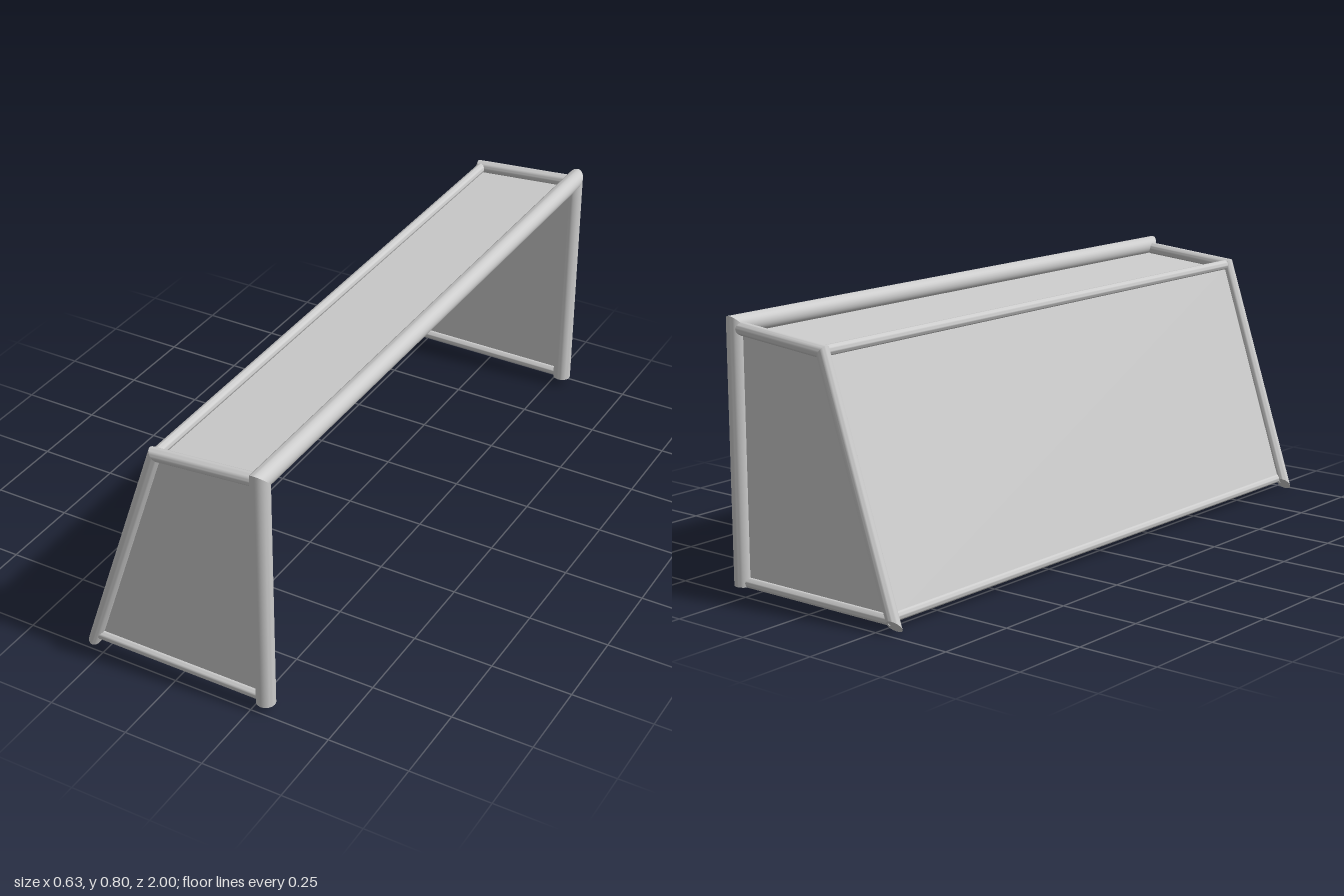
import * as THREE from 'three';
import { toCreasedNormals } from 'three/addons/utils/BufferGeometryUtils.js';

const V = (x, y, z) => new THREE.Vector3(x, y, z);
const material = new THREE.MeshStandardMaterial({ color: 0xcccccc });
const panelMaterial = new THREE.MeshStandardMaterial({ color: 0xcccccc, side: THREE.DoubleSide });

// Round bar from a to b; each end is cut by a plane with the given normal (square by default)
function bar(name, a, b, r, cutA, cutB) {
  const d = b.clone().sub(a);
  const length = d.length();
  d.normalize();
  const geometry = new THREE.CylinderGeometry(r, r, length, 28);
  geometry.applyQuaternion(new THREE.Quaternion().setFromUnitVectors(V(0, 1, 0), d));
  geometry.translate((a.x + b.x) / 2, (a.y + b.y) / 2, (a.z + b.z) / 2);
  const pos = geometry.attributes.position;
  const p = V(0, 0, 0);
  for (let i = 0; i < pos.count; i++) {
    p.fromBufferAttribute(pos, i);
    const atB = p.clone().sub(a).dot(d) > length / 2;
    const end = atB ? b : a;
    const n = (atB ? cutB : cutA) || d;
    p.addScaledVector(d, -n.dot(p.clone().sub(end)) / n.dot(d));
    pos.setXYZ(i, p.x, p.y, p.z);
  }
  const mesh = new THREE.Mesh(toCreasedNormals(geometry, 0.6), material);
  mesh.name = name;
  return mesh;
}

// Flat four-cornered net panel
function panel(name, corners) {
  const geometry = new THREE.BufferGeometry().setFromPoints(corners);
  geometry.setIndex([0, 1, 2, 0, 2, 3]);
  geometry.computeVertexNormals();
  const mesh = new THREE.Mesh(geometry, panelMaterial);
  mesh.name = name;
  return mesh;
}

export function createModel() {
  const goal = new THREE.Group();
  goal.name = 'goal';

  const postX = 0.2835, postR = 0.0285, postZ = 0.9715, barY = 0.776;
  const railY = 0.036, thinR = 0.0155;

  // Main frame with mitred upper corners
  const mitre = (s) => V(0, 1, -s);
  goal.add(bar('crossbar', V(postX, barY, -postZ), V(postX, barY, postZ), postR, mitre(-1), mitre(1)));

  for (const s of [1, -1]) {
    const side = new THREE.Group();
    side.name = s > 0 ? 'leftSide' : 'rightSide';
    goal.add(side);
    side.add(bar('post', V(postX, 0.024, s * postZ), V(postX, barY, s * postZ), postR, null, mitre(s)));

    // Side frame: top rail and sloping stay meet in a mitre, the stay's foot is cut at a slant
    const z = s > 0 ? 0.967 : -0.974;
    const front = V(postX, 0.77, z), top = V(-0.05, 0.742, z), foot = V(-0.295, 0.02, z);
    const toFront = front.clone().sub(top).normalize();
    const toFoot = foot.clone().sub(top).normalize();
    const corner = toFront.clone().sub(toFoot);
    side.add(bar('topRail', top, front, 0.0195, corner));
    side.add(bar('backStay', top, foot, 0.0195, corner, toFoot.clone().sub(V(0, 0, 1))));
    side.add(bar('bottomRail', V(-0.285, railY, z), V(postX, railY, z), thinR));
    side.add(panel('sideNet', [
      V(-0.288, railY, z), V(postX, railY, z), front, top,
    ]));
  }

  // Rear cross bars
  const z = 0.97;
  goal.add(bar('upperRearBar', V(-0.048, 0.742, -z), V(-0.048, 0.742, z), thinR));
  goal.add(bar('lowerRearBar', V(-0.273, railY + 0.003, -z), V(-0.273, railY + 0.003, z), thinR));

  // Roof and back net panels
  goal.add(panel('roofNet', [
    V(-0.052, 0.727, -z), V(-0.052, 0.727, z), V(postX, 0.754, z), V(postX, 0.754, -z),
  ]));
  goal.add(panel('backNet', [
    V(-0.285, railY, -z), V(-0.285, railY, z), V(-0.05, 0.742, z), V(-0.05, 0.742, -z),
  ]));

  return goal;
}
